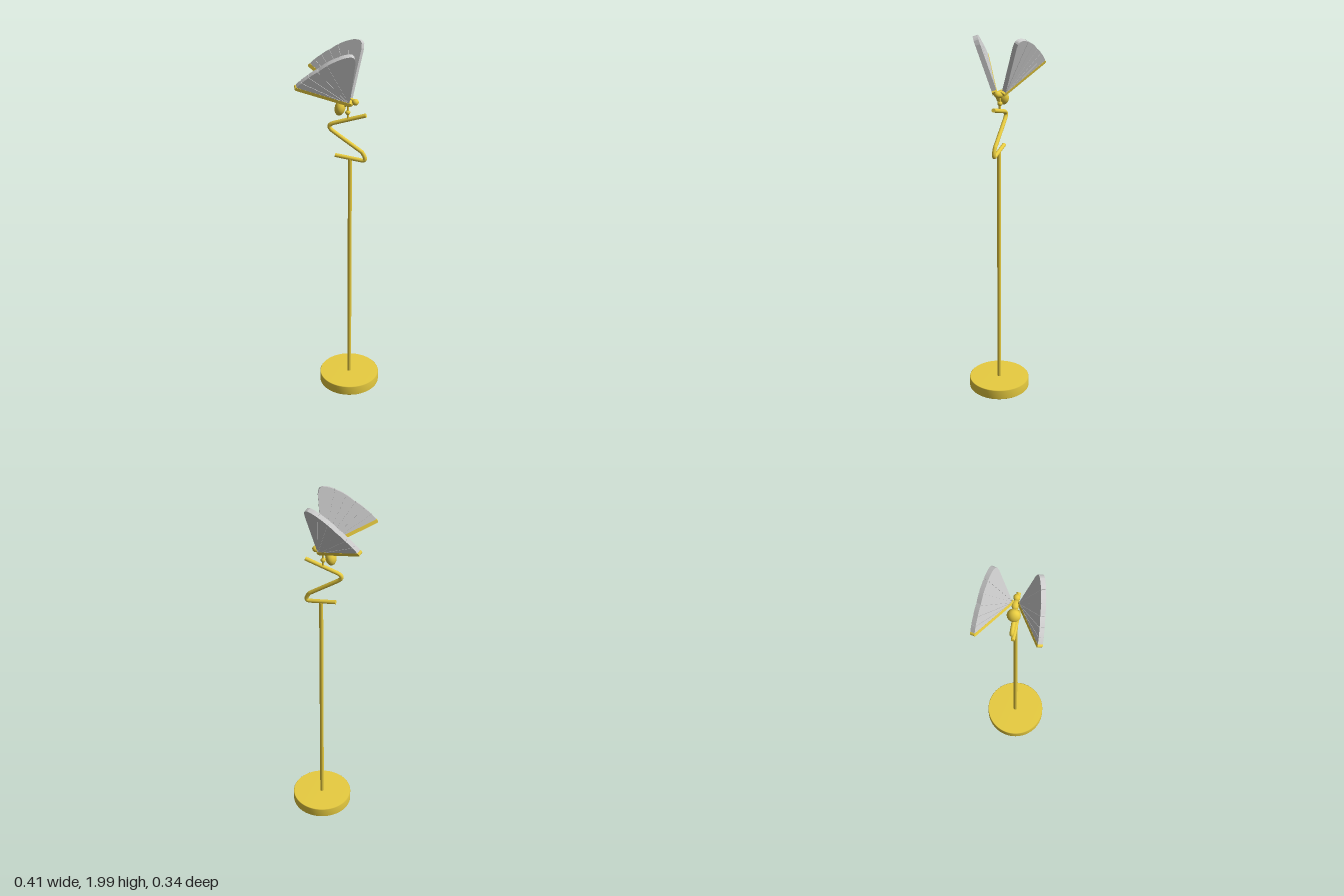
import * as THREE from 'three';

const gold = new THREE.MeshStandardMaterial({ color: 0xe8cc40 });
const grey = new THREE.MeshStandardMaterial({ color: 0xcccccc });
const V = (x, y, z = 0) => new THREE.Vector3(x, y, z);

function add(parent, name, geometry, material, x = 0, y = 0, z = 0) {
  const mesh = new THREE.Mesh(geometry, material);
  mesh.name = name;
  mesh.position.set(x, y, z);
  parent.add(mesh);
  return mesh;
}

// Wing rim as [angle, radius] from the root, with a rounded rear corner
const RIM = [[0, 0.304], [0.28, 0.287], [0.524, 0.281], [0.852, 0.295], [1.0, 0.303],
  [1.1, 0.305], [1.15, 0.3], [1.18, 0.288], [1.195, 0.265]];
const THICK = 0.025;

function rimRadius(a) {
  let i = 1;
  while (i < RIM.length - 1 && RIM[i][0] < a) i++;
  const [a0, r0] = RIM[i - 1], [a1, r1] = RIM[i];
  return r0 + (r1 - r0) * (a - a0) / (a1 - a0);
}

// Fan-shaped slab between two angles
function fan(a0, a1, depth, shrink = 0) {
  const pts = [new THREE.Vector2(0.012 * Math.cos((a0 + a1) / 2), 0.012 * Math.sin((a0 + a1) / 2))];
  const n = Math.max(6, Math.ceil((a1 - a0) / 0.02));
  for (let i = 0; i <= n; i++) {
    const a = a0 + (a1 - a0) * i / n, r = rimRadius(a) - shrink;
    pts.push(new THREE.Vector2(r * Math.cos(a), r * Math.sin(a)));
  }
  return new THREE.ExtrudeGeometry(new THREE.Shape(pts), { depth, bevelEnabled: false });
}

function makeWing() {
  const wing = new THREE.Group();
  wing.name = 'wing';
  // Thin core, with raised panels separated by narrow grooves
  add(wing, 'wingCore', fan(0.03, 1.19, THICK - 0.005, 0.002), grey, 0, 0, 0.0025);
  const seams = [0.03, 0.15, 0.31, 0.5, 0.7, 0.91, 1.195];
  for (let i = 0; i < 6; i++) {
    add(wing, 'wingPanel', fan(seams[i] + 0.004, seams[i + 1] - (i < 5 ? 0.004 : 0), THICK), grey);
  }
  // Gold bar along the leading edge, rounded at the tip
  const bar = new THREE.Shape();
  bar.moveTo(-0.005, -0.009);
  bar.lineTo(0.297, -0.009);
  bar.absarc(0.297, 0, 0.009, -Math.PI / 2, Math.PI / 2, false);
  bar.lineTo(-0.005, 0.009);
  add(wing, 'leadingEdge', new THREE.ExtrudeGeometry(bar, { depth: THICK + 0.001, bevelEnabled: false }), gold, 0, 0, -0.0005);

  // Lay the wing in the plane through root, front tip and rear corner
  const root = V(0.04, 1.705, 0.012);
  const u = V(-0.205, 1.825, 0.147).sub(root).normalize();
  const w = u.clone().cross(V(0.08, 1.995, 0.1).sub(root)).normalize();
  const v = w.clone().cross(u);
  wing.quaternion.setFromRotationMatrix(new THREE.Matrix4().makeBasis(u, v, w));
  wing.position.copy(root).addScaledVector(w, -THICK);
  return wing;
}

function makeZigzag() {
  const group = new THREE.Group();
  group.name = 'zigzagArm';
  const path = new THREE.CurvePath();
  const line = (a, b) => path.add(new THREE.LineCurve3(a, b));
  const bend = (a, c, b) => path.add(new THREE.QuadraticBezierCurve3(a, c, b));
  const p = [V(-0.035, 1.4), V(0.1, 1.383), V(0.105, 1.43), V(-0.045, 1.533), V(-0.04, 1.58), V(0.125, 1.635)];
  line(p[0], p[1]);
  bend(p[1], V(0.14, 1.378), p[2]);
  line(p[2], p[3]);
  bend(p[3], V(-0.086, 1.563), p[4]);
  line(p[4], p[5]);
  add(group, 'zigzagTube', new THREE.TubeGeometry(path, 160, 0.0105, 16), gold);
  // End caps
  for (const [end, inner] of [[p[0], p[1]], [p[5], p[4]]]) {
    const cap = add(group, 'tubeCap', new THREE.CircleGeometry(0.0105, 16), gold, end.x, end.y, end.z);
    cap.lookAt(end.clone().multiplyScalar(2).sub(inner));
  }
  return group;
}

export function createModel() {
  const model = new THREE.Group();
  model.name = 'butterflyFloorLamp';
  const cx = 0.043;

  // Stand
  const base = [[0, 0], [0.161, 0], [0.164, 0.003], [0.164, 0.053], [0.161, 0.056], [0, 0.056]];
  const profile = base.map(([x, y]) => new THREE.Vector2(x, y));
  const baseMesh = add(model, 'base', new THREE.LatheGeometry(profile, 64), gold, cx);
  baseMesh.material = gold;
  add(model, 'pole', new THREE.CylinderGeometry(0.0105, 0.0105, 1.335, 24), gold, cx, 0.7175);
  model.add(makeZigzag());

  // Insect body on a small joint
  const body = new THREE.Group();
  body.name = 'body';
  model.add(body);
  const ball = r => new THREE.SphereGeometry(r, 28, 20);
  add(body, 'jointPost', new THREE.CylinderGeometry(0.006, 0.006, 0.08, 12), gold, 0.032, 1.645);
  add(body, 'jointBall', ball(0.013), gold, 0.031, 1.643);
  const abdomen = add(body, 'abdomen', ball(1), gold, -0.009, 1.665);
  abdomen.scale.set(0.027, 0.041, 0.034);
  abdomen.rotation.z = -0.2;
  const thorax = add(body, 'thorax', ball(1), gold, 0.036, 1.693);
  thorax.scale.set(0.024, 0.018, 0.02);
  const waist = add(body, 'waist', new THREE.CylinderGeometry(0.012, 0.012, 0.05, 16), gold, 0.014, 1.683);
  waist.rotation.z = -1.0;
  add(body, 'head', ball(0.017), gold, 0.07, 1.702);

  // Mirrored wings
  for (const side of [1, -1]) {
    const holder = new THREE.Group();
    holder.name = side > 0 ? 'frontWing' : 'backWing';
    holder.scale.z = side;
    holder.add(makeWing());
    model.add(holder);
  }
  return model;
}
